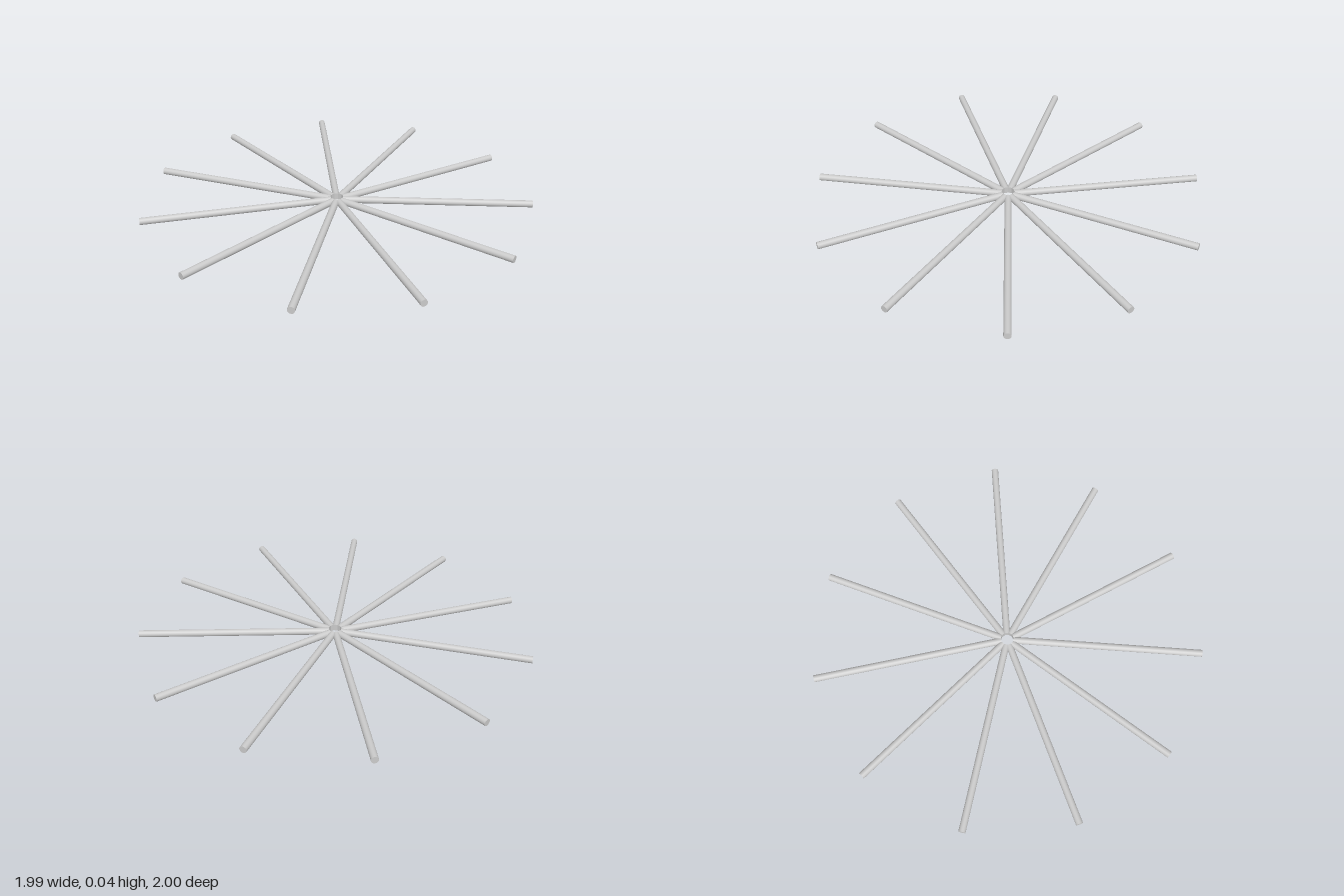
import * as THREE from 'three';

export function createModel() {
  const model = new THREE.Group();
  model.name = 'spokeRing';
  const material = new THREE.MeshStandardMaterial({ color: 0xcccccc });

  const count = 11, radius = 0.018, inner = 0.032, outer = 1.009;
  const length = outer - inner;

  // One rod lying along +z, starting at the small open centre
  const rod = new THREE.CylinderGeometry(radius, radius, length, 16);
  rod.rotateX(Math.PI / 2);
  rod.translate(0, radius, inner + length / 2);

  // Evenly spaced rods around the centre
  const start = THREE.MathUtils.degToRad(5.47);
  for (let i = 0; i < count; i++) {
    const spoke = new THREE.Mesh(rod, material);
    spoke.name = `spoke${i + 1}`;
    spoke.rotation.y = start + (i * Math.PI * 2) / count;
    model.add(spoke);
  }

  // The odd number of rods puts the hub slightly off the middle of the bounds
  model.position.set(0.012, 0, -0.006);
  const root = new THREE.Group();
  root.name = 'radialRods';
  root.add(model);
  return root;
}
